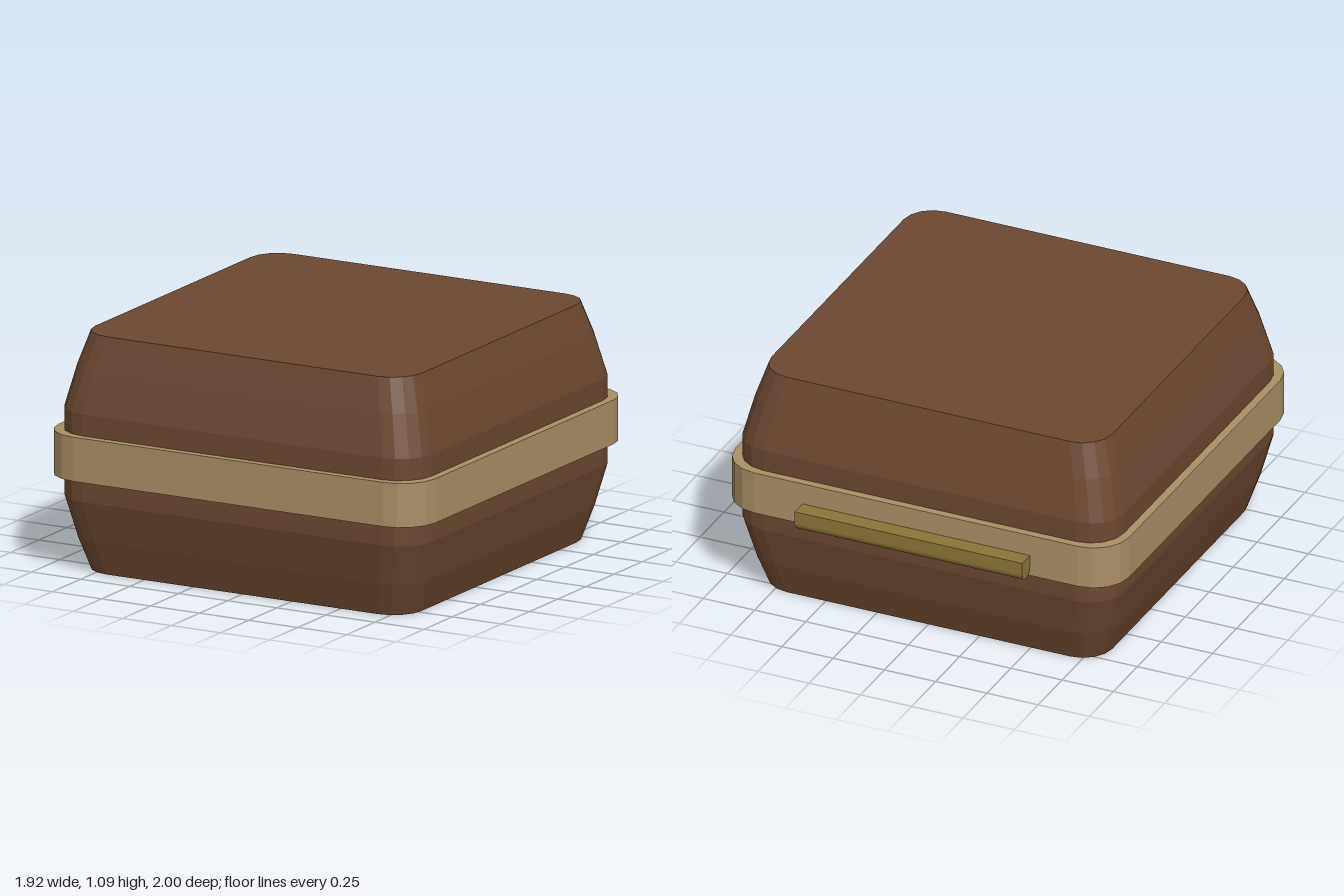
import * as THREE from 'three';

const SEAM = 0.543, CENTRE_Z = 0.04, CORNER_STEPS = 4;

const material = (color) => new THREE.MeshStandardMaterial({ color, flatShading: true, side: THREE.DoubleSide });

// Rounded square outline, running from +z round to +x
function outline(half, r) {
  const pts = [];
  for (let c = 0; c < 4; c++) {
    const mid = (c + 0.5) * Math.PI / 2;
    const cx = Math.sign(Math.sin(mid)) * (half - r);
    const cz = Math.sign(Math.cos(mid)) * (half - r);
    for (let i = 0; i <= CORNER_STEPS; i++) {
      const a = (c + i / CORNER_STEPS) * Math.PI / 2;
      pts.push([cx + r * Math.sin(a), cz + r * Math.cos(a)]);
    }
  }
  return pts;
}

// Skin over [y, half width, corner radius] levels, ordered from low to high
function loft(levels, capLow, capHigh) {
  const pos = [], idx = [];
  const n = 4 * (CORNER_STEPS + 1);
  for (const [y, half, r] of levels) {
    for (const [x, z] of outline(half, r)) pos.push(x, y, z);
  }
  for (let l = 0; l < levels.length - 1; l++) {
    for (let i = 0; i < n; i++) {
      const j = (i + 1) % n;
      const a = l * n + i, b = l * n + j, c = a + n, d = b + n;
      idx.push(a, b, d, a, d, c);
    }
  }
  const top = (levels.length - 1) * n;
  for (let i = 1; i < n - 1; i++) {
    if (capLow) idx.push(0, i + 1, i);
    if (capHigh) idx.push(top, top + i, top + i + 1);
  }
  const geo = new THREE.BufferGeometry();
  geo.setAttribute('position', new THREE.Float32BufferAttribute(pos, 3));
  geo.setIndex(idx);
  const flat = geo.toNonIndexed();
  flat.computeVertexNormals();
  return flat;
}

export function createModel() {
  const group = new THREE.Group();
  const leather = material(0x6b4832);
  const brass = material(0xa98f66);
  const hingeMetal = material(0x8b7536);

  const add = (name, geo, mat) => {
    const mesh = new THREE.Mesh(geo, mat);
    mesh.name = name;
    group.add(mesh);
    return mesh;
  };

  // Levels measured away from the seam
  const shell = [[0, 0.923, 0.16], [0.2, 0.923, 0.16], [0.39, 0.878, 0.15], [SEAM, 0.831, 0.14]];
  const rim = [[0, 0.96, 0.17], [0.101, 0.96, 0.17], [0.101, 0.923, 0.16]];

  // Lid and base mirror each other across the seam, each with its rim band
  for (const [label, s] of [['lid', 1], ['base', -1]]) {
    const place = (levels) => {
      const out = levels.map(([d, half, r]) => [SEAM + s * d, half, r]);
      return s > 0 ? out : out.reverse();
    };
    add(label + 'Shell', loft(place(shell), s < 0, s > 0), leather).position.z = CENTRE_Z;
    add(label + 'RimBand', loft(place(rim), false, false), brass).position.z = CENTRE_Z;
  }

  // Hinge on the back: three knuckles with a flat top and rounded underside
  const profile = new THREE.Shape();
  profile.moveTo(-0.04, 0);
  profile.lineTo(-0.04, -0.057);
  profile.absarc(0, -0.057, 0.04, Math.PI, 2 * Math.PI, false);
  profile.lineTo(0.04, 0);
  profile.closePath();
  const length = 1.11 / 3;
  for (let i = 0; i < 3; i++) {
    const geo = new THREE.ExtrudeGeometry(profile, { depth: length, bevelEnabled: false, curveSegments: 8 });
    geo.rotateY(Math.PI / 2);
    add('hingeKnuckle' + (i + 1), geo, hingeMetal).position.set(-0.555 + i * length, SEAM, -0.96);
  }

  return group;
}
